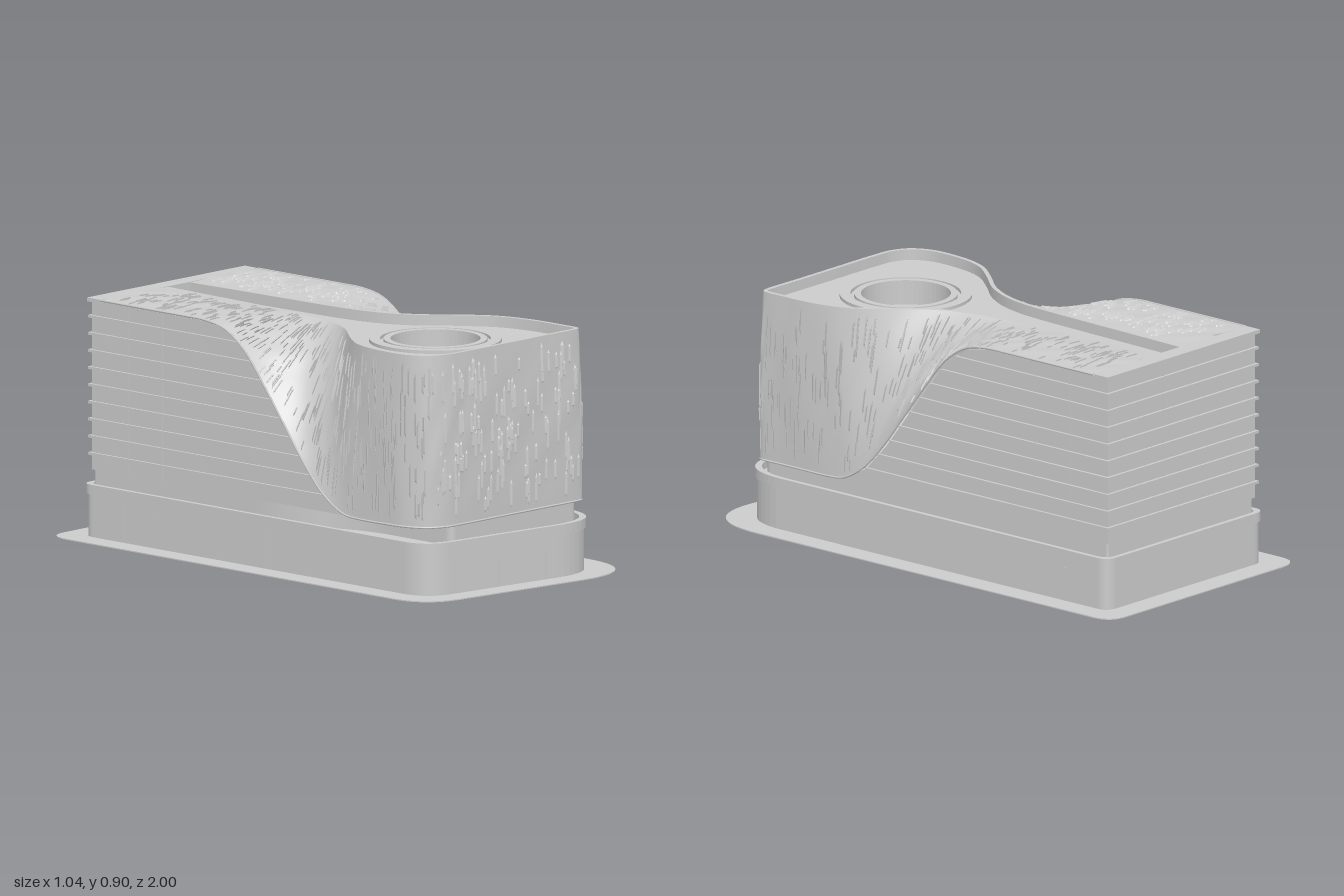
import * as THREE from 'three';

const mat = new THREE.MeshStandardMaterial({ color: 0xcccccc, side: THREE.DoubleSide });
const V = (x, y, z) => new THREE.Vector3(x, y, z);
const UP = V(0, 1, 0);
const ROOF = 0.89, DECK = 0.85, BASE = 0.25, HALF = 0.42;

// side stations, back to front: z, height of the skin's lower edge, half width of the roof channel
const side = [
  [-0.83, 0.89, 0.074], [-0.7, 0.89, 0.079], [-0.55, 0.89, 0.085], [-0.4, 0.89, 0.09],
  [-0.3, 0.888, 0.094], [-0.2, 0.868, 0.098], [-0.1, 0.8, 0.104], [0, 0.68, 0.117],
  [0.1, 0.55, 0.145], [0.2, 0.42, 0.2], [0.3, 0.315, 0.285], [0.4, 0.258, 0.36], [0.48, 0.25, 0.392],
];

// paired outer (lower) and inner (roof) edges of the skin, right side > front > left side
function skinEdges() {
  const outer = [], inner = [];
  const add = (x, z, xi, zi, y = BASE) => { outer.push(V(x, y, z)); inner.push(V(xi, ROOF, zi)); };
  side.forEach(([z, y, xi]) => add(HALF, z, xi, z, y));
  [[0.42, 0.6, 0.412, 0.6], [0.42, 0.7, 0.414, 0.7], [0.42, 0.795, 0.414, 0.78], [0.415, 0.81, 0.408, 0.8],
    [0.4, 0.815, 0.39, 0.809], [0.2, 0.815, 0.2, 0.81], [0, 0.815, 0, 0.81], [-0.2, 0.815, -0.2, 0.81],
    [-0.3, 0.81, -0.295, 0.803], [-0.37, 0.775, -0.362, 0.768], [-0.41, 0.7, -0.402, 0.695],
    [-0.42, 0.6, -0.408, 0.6]].forEach(p => add(...p));
  [...side].reverse().forEach(([z, y, xi]) => add(-HALF, z, -xi, z, y));
  return [outer, inner].map(p => new THREE.CatmullRomCurve3(p));
}

function mesh(group, name, geo) {
  const m = new THREE.Mesh(geo, mat);
  m.name = name;
  group.add(m);
  return m;
}

function box(group, name, w, h, d, x, y, z) {
  mesh(group, name, new THREE.BoxGeometry(w, h, d)).position.set(x, y, z);
}

// smooth grid surface from a point rule f(u, v)
function grid(f, nu, nv) {
  const pos = [], idx = [];
  for (let i = 0; i <= nu; i++) for (let j = 0; j <= nv; j++) {
    pos.push(...f(i / nu, j / nv).toArray());
    if (i < nu && j < nv) {
      const a = i * (nv + 1) + j, b = a + nv + 1;
      idx.push(a, a + 1, b, b, a + 1, b + 1);
    }
  }
  const g = new THREE.BufferGeometry();
  g.setAttribute('position', new THREE.Float32BufferAttribute(pos, 3));
  g.setIndex(idx);
  g.computeVertexNormals();
  return g;
}

// plan polygon [x, z, cornerRadius] with rounded corners; the shape's y is -z
function plan(corners, Type = THREE.Shape) {
  const s = new Type(), n = corners.length;
  corners.forEach(([x, z, r], i) => {
    const p = new THREE.Vector2(x, -z);
    const toward = ([qx, qz]) => new THREE.Vector2(qx, -qz).sub(p).setLength(r).add(p);
    const a = toward(corners[(i + n - 1) % n]), b = toward(corners[(i + 1) % n]);
    if (i) s.lineTo(a.x, a.y); else s.moveTo(a.x, a.y);
    s.quadraticCurveTo(p.x, p.y, b.x, b.y);
  });
  s.closePath();
  return s;
}

const slab = (shape, y, h) => new THREE.ExtrudeGeometry(shape, { depth: h, bevelEnabled: false, curveSegments: 14 })
  .rotateX(-Math.PI / 2).translate(0, y, 0);

// slanted-front outline of the podium, shrunk by d
const podiumCorners = d => [[-0.43 + d, -0.905 + d, 0.05], [0.43 - d, -0.905 + d, 0.05],
  [0.43 - d, 0.937 - d, 0.25], [-0.43 + d, 0.828 - d, 0.12]];

function ring(outer, inner) {
  const s = plan(outer);
  s.holes.push(plan(inner, THREE.Path));
  return s;
}

// side profile of the tower under the skin, no higher than top, extruded from x0 to x1
function towerProfile(top, x0, x1) {
  const pts = [[-0.885, BASE], [-0.885, top],
    ...side.map(([z, y]) => [z, Math.min(top, Math.max(y - 0.008, BASE + 0.003))]), [0.48, BASE]];
  return new THREE.ExtrudeGeometry(new THREE.Shape(pts.map(([z, y]) => new THREE.Vector2(-z, y))),
    { depth: x1 - x0, bevelEnabled: false }).translate(0, 0, x0).rotateY(Math.PI / 2);
}

export function createModel() {
  const model = new THREE.Group();
  model.name = 'building';

  // ground and podium
  const walk = [[-0.52, -1, 0.09], [0.52, -1, 0.09], [0.52, 1.035, 0.3], [-0.52, 0.907, 0.17]];
  mesh(model, 'sidewalk', slab(ring(walk, podiumCorners(0.01)), 0, 0.004));
  mesh(model, 'podiumWall', slab(ring(podiumCorners(0), podiumCorners(0.015)), 0, 0.165));
  mesh(model, 'podiumParapet', slab(ring(podiumCorners(-0.005), podiumCorners(0.013)), 0.163, 0.037));
  mesh(model, 'podiumDeck', slab(plan(podiumCorners(0.01)), 0.16, 0.012));
  for (const x of [-0.3, -0.09, 0.13]) box(model, 'podiumMullion', 0.004, 0.115, 0.008, x, 0.058, 0.879 + x * 0.127);
  for (const s of [-1, 1]) for (const z of [-0.7, -0.52, 0.02])
    box(model, 'podiumMullion', 0.004, 0.13, 0.004, s * 0.43, 0.065, z);
  // recessed storey, drawn in at its front left
  mesh(model, 'recessedFloor', slab(plan([[-0.4, -0.88, 0.01], [0.4, -0.88, 0.01], [0.4, 0.8, 0.03],
    [-0.27, 0.8, 0.03], [-0.27, 0.36, 0.15], [-0.4, 0.08, 0.15]]), 0.165, 0.09));

  // tower core, kept below the roof channel, and its full-height side walls
  mesh(model, 'towerCore', towerProfile(0.835, -0.4, 0.4));
  for (const s of [-1, 1]) mesh(model, 'sideWall', towerProfile(0.884, s * 0.4 - 0.006, s * 0.4 + 0.006));

  // floor ledges, each ending where the skin edge crosses its height
  const zAt = y => {
    const i = side.findIndex(s => s[1] < y), [z0, y0] = side[i - 1], [z1, y1] = side[i];
    return z0 + (z1 - z0) * (y - y0) / (y1 - y0);
  };
  for (let i = 0; i < 9; i++) {
    const y = 0.31 + i * 0.064, front = zAt(y + 0.006) - 0.005, back = -0.896;
    box(model, 'floorLedge', 0.832, 0.01, front - back, 0, y, (front + back) / 2);
  }
  for (const s of [-1, 1]) for (const z of [-0.7, -0.53]) box(model, 'wallMullion', 0.006, 0.62, 0.005, s * 0.406, 0.56, z);
  box(model, 'wallMullion', 0.005, 0.62, 0.006, 0.1, 0.56, -0.885);
  box(model, 'backWallTop', 0.8, 0.05, 0.055, 0, 0.858, -0.8575);
  box(model, 'roofBackEdge', 0.84, 0.014, 0.068, 0, 0.885, -0.864);

  // skin turning from upright facade to flat roof
  const [outer, inner] = skinEdges();
  const skinPoint = (u, v) => outer.getPoint(u).lerp(inner.getPoint(u), v);
  const along = (u, v) => {
    const a = Math.min(u, 0.998);
    return skinPoint(a + 0.002, v).sub(skinPoint(a, v)).normalize();
  };
  const normal = (u, v) => inner.getPoint(u).sub(outer.getPoint(u)).cross(along(u, v)).normalize();
  const skin = (u, v) => {
    const wave = Math.sin(Math.PI * v) * (0.005 + 0.003 * Math.sin(u * 150 + 5 * v) * Math.sin(v * 9 + u * 40));
    return skinPoint(u, v).addScaledVector(normal(u, v), wave);
  };
  mesh(model, 'skin', grid(skin, 270, 14));

  // long narrow slats scattered evenly, running from the lower edge towards the roof
  let seed = 7;
  const rand = () => (seed = (seed * 16807) % 2147483647) / 2147483647;
  const tri = [];
  for (let i = 0; i < 800; i++) {
    const u = outer.getUtoTmapping(0.01 + 0.98 * rand());
    const len = 0.08 + 0.14 * rand(), v = 0.02 + (0.96 - len) * rand();
    const [a, b, c, d] = [0, 0.15, 0.85, 1].map(k => skin(u, v + k * len));
    const n = normal(u, v + len / 2), t = along(u, v + len / 2);
    const b1 = b.clone().addScaledVector(n, 0.005), c1 = c.clone().addScaledVector(n, 0.005);
    const b2 = b.clone().addScaledVector(t, 0.007), c2 = c.clone().addScaledVector(t, 0.007);
    for (const p of [a, b1, d, b1, c1, d, a, b2, b1, b1, b2, c2, b1, c2, c1, c1, c2, d]) tri.push(p.x, p.y, p.z);
  }
  const slats = new THREE.BufferGeometry();
  slats.setAttribute('position', new THREE.Float32BufferAttribute(tri, 3));
  slats.computeVertexNormals();
  mesh(model, 'skinSlats', slats);
  mesh(model, 'skinRim', new THREE.TubeGeometry(outer, 240, 0.004, 6));

  // underside of the overhanging front
  const head = outer.getPoints(180).filter(p => p.z > 0.4);
  mesh(model, 'overhangSoffit', slab(new THREE.Shape(head.map(p => new THREE.Vector2(p.x, -p.z))), BASE, 0.006));

  // roof parapet and sunken deck
  const lip = Array.from({ length: 241 }, (_, i) => {
    const a = inner.getPoint(Math.max(i - 1, 0) / 240), b = inner.getPoint(Math.min(i + 1, 240) / 240);
    return inner.getPoint(i / 240).addScaledVector(b.sub(a).cross(UP).normalize(), 0.016);
  });
  const lipAt = u => lip[Math.round(u * 240)].clone();
  mesh(model, 'parapetTop', grid((u, v) => inner.getPoint(u).lerp(lipAt(u), v), 240, 1));
  mesh(model, 'parapetInside', grid((u, v) => lipAt(u).setY(ROOF - v * (ROOF - DECK)), 240, 1));
  const deck = new THREE.Shape(lip.map(p => new THREE.Vector2(p.x, -p.z)));
  deck.holes.push(new THREE.Path().absarc(0.01, -0.455, 0.22, 0, Math.PI * 2, true));
  mesh(model, 'roofDeck', new THREE.ShapeGeometry(deck, 32).rotateX(-Math.PI / 2).translate(0, DECK, 0));

  // round light well with stepped rim
  const well = [[0.243, 0.848], [0.243, 0.862], [0.203, 0.862], [0.203, 0.85], [0.19, 0.85], [0.19, 0.862],
    [0.165, 0.862], [0.165, 0.77], [0, 0.77]];
  const wellGeo = new THREE.LatheGeometry(well.map(p => new THREE.Vector2(...p)), 56).toNonIndexed();
  wellGeo.computeVertexNormals();
  mesh(model, 'lightWell', wellGeo).position.set(0.01, 0, 0.455);

  return model;
}
